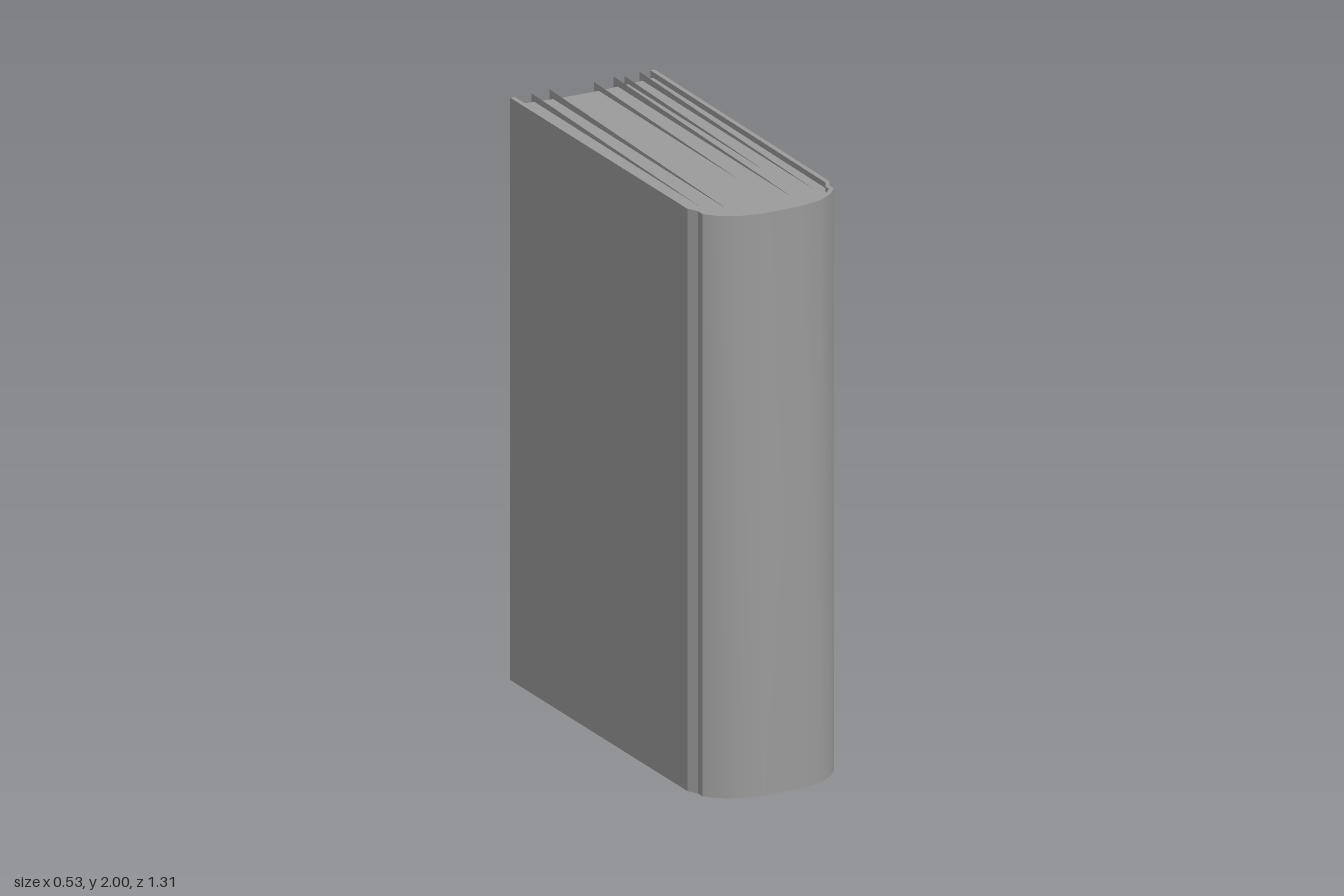
import * as THREE from 'three';
import { toCreasedNormals } from 'three/addons/utils/BufferGeometryUtils.js';

// Half outlines as [x, z], from the fore edge round to the middle of the spine
const OUTER = [[0.264, -0.655], [0.259, 0.5], [0.24, 0.537], [0.24, 0.565], [0.208, 0.602], [0.153, 0.637], [0.07, 0.655]];
const INNER = [[0.248, -0.655], [0.242, 0.505], [0.224, 0.541], [0.224, 0.562], [0.198, 0.59], [0.15, 0.621], [0.07, 0.637]];

// Full outline: the half profile followed by its mirror image
const mirrored = (half) => [...half, ...half.map(([x, z]) => [-x, z]).reverse()];

// Extrudes a plan outline upwards between two heights
function upright(points, y0, y1) {
  const shape = new THREE.Shape(points.map(([x, z]) => new THREE.Vector2(x, -z)));
  const geometry = new THREE.ExtrudeGeometry(shape, { depth: y1 - y0, bevelEnabled: false });
  geometry.rotateX(-Math.PI / 2).translate(0, y0, 0);
  return toCreasedNormals(geometry, 0.4);
}

export function createModel() {
  const book = new THREE.Group();
  book.name = 'book';
  const material = new THREE.MeshStandardMaterial({ color: 0x9b9b9b });
  const sheetMaterial = new THREE.MeshStandardMaterial({ color: 0x9b9b9b, side: THREE.DoubleSide });

  const add = (name, geometry, mat = material) => {
    const mesh = new THREE.Mesh(geometry, mat);
    mesh.name = name;
    book.add(mesh);
  };

  // Cover: two boards, hinge grooves and a rounded spine in one thin shell
  add('cover', upright([...mirrored(OUTER), ...mirrored(INNER).reverse()], 0.008, 1.994));

  // Page block: fills the cover, with a hollow curved fore edge
  const foreEdge = [];
  for (let i = 0; i <= 10; i++) {
    const t = -1 + i / 5;
    foreEdge.push([t * 0.248, -0.617 - 0.019 * t * t]);
  }
  add('pageBlock', upright([...mirrored(INNER.slice(1)), ...foreEdge], 0.03, 1.975));

  // Loose sheets: thin leaves at [x, lift], standing proud of the page block
  const sheets = [[-0.19, 0], [-0.125, 0.002], [0.038, -0.003], [0.11, 0.002], [0.15, -0.004], [0.205, 0.001]];
  for (const [x, lift] of sheets) {
    const leaf = new THREE.Shape([
      new THREE.Vector2(-0.5, 0.031 + lift),
      new THREE.Vector2(0.648, 0.005 + lift),
      new THREE.Vector2(0.648, 1.998 + lift),
      new THREE.Vector2(-0.5, 1.974 + lift),
    ]);
    add('looseSheet', new THREE.ShapeGeometry(leaf).rotateY(Math.PI / 2).translate(x, 0, 0), sheetMaterial);
  }
  return book;
}
